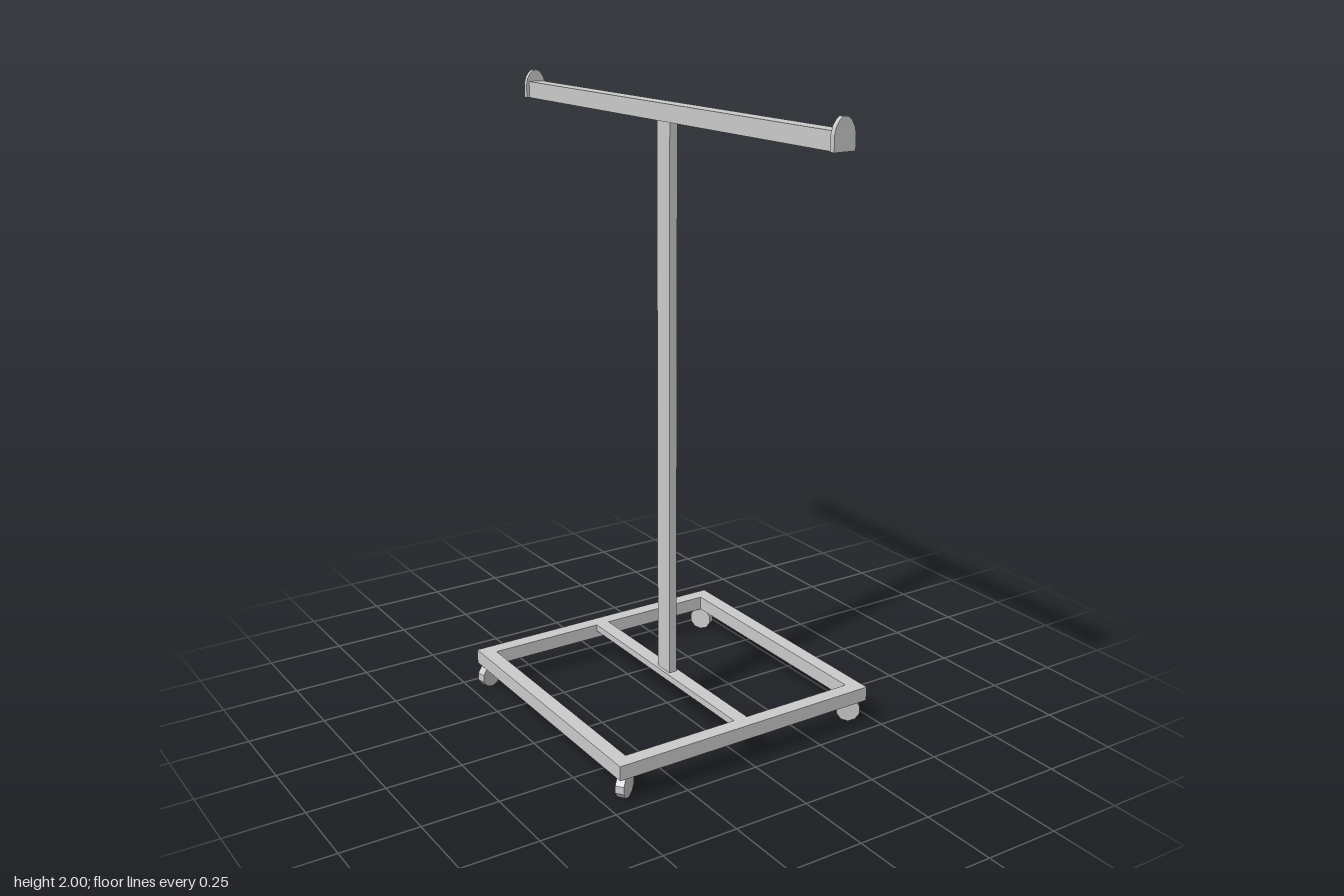
import * as THREE from 'three';

export function createModel() {
  const root = new THREE.Group();
  root.name = 'garmentRack';
  const mat = new THREE.MeshStandardMaterial({ color: 0xcccccc, flatShading: true });

  const add = (name, geometry, x, y, z, parent = root) => {
    const mesh = new THREE.Mesh(geometry, mat);
    mesh.name = name;
    mesh.position.set(x, y, z);
    parent.add(mesh);
    return mesh;
  };
  const box = (name, w, h, d, x, y, z) => add(name, new THREE.BoxGeometry(w, h, d), x, y, z);

  // Square base frame, one extrusion with an open middle
  const half = 0.463, inner = 0.415, frameBottom = 0.08, frameTop = 0.127;
  const square = (shape, r) => shape.moveTo(-r, -r).lineTo(r, -r).lineTo(r, r).lineTo(-r, r).closePath();
  const outline = square(new THREE.Shape(), half);
  outline.holes.push(square(new THREE.Path(), inner));
  const frame = new THREE.ExtrudeGeometry(outline, { depth: frameTop - frameBottom, bevelEnabled: false });
  frame.rotateX(-Math.PI / 2);
  add('baseFrame', frame, 0, frameBottom, 0);

  // Flat bar across the base carrying the post
  box('baseCrossbar', 0.048, 0.022, inner * 2, 0, frameTop - 0.011, 0);

  // Upright post and hanging rail
  box('post', 0.027, 1.91 - frameTop, 0.07, 0, (1.91 + frameTop) / 2, 0);
  box('topRail', 0.05, 0.053, 1.63, 0, 1.9365, 0);

  // Round-topped stop plates at both rail ends
  const plate = new THREE.Shape([
    [-0.035, 1.91], [0.035, 1.91], [0.035, 1.955], [0.03, 1.975], [0.019, 1.992], [0.008, 2],
    [-0.008, 2], [-0.019, 1.992], [-0.03, 1.975], [-0.035, 1.955],
  ].map(([x, y]) => new THREE.Vector2(x, y)));
  const plateGeo = new THREE.ExtrudeGeometry(plate, { depth: 0.016, bevelEnabled: false });
  plateGeo.translate(0, 0, -0.008);
  for (const s of [-1, 1]) add(s > 0 ? 'frontEndStop' : 'backEndStop', plateGeo, 0, 0, s * 0.82);

  // Casters, each swivelled differently: x, z, axle direction x, z
  const wheelGeo = new THREE.CylinderGeometry(0.039, 0.039, 0.028, 10);
  wheelGeo.rotateX(Math.PI / 2);
  const casters = [
    [0.43, -0.43, 0.82, -0.57],
    [0.43, 0.412, 0.52, -0.85],
    [-0.425, 0.425, 0.57, 0.82],
    [-0.433, -0.438, 0.25, 0.97],
  ];
  for (const [x, z, ax, az] of casters) {
    const caster = new THREE.Group();
    caster.name = 'caster';
    caster.position.set(x, 0, z);
    caster.rotation.y = Math.atan2(ax, az);
    add('wheel', wheelGeo, 0, 0.039, 0, caster);
    // Short swivel stem reaching into the frame
    add('casterStem', new THREE.CylinderGeometry(0.012, 0.012, 0.03, 8), 0, 0.075, 0, caster);
    root.add(caster);
  }
  return root;
}
